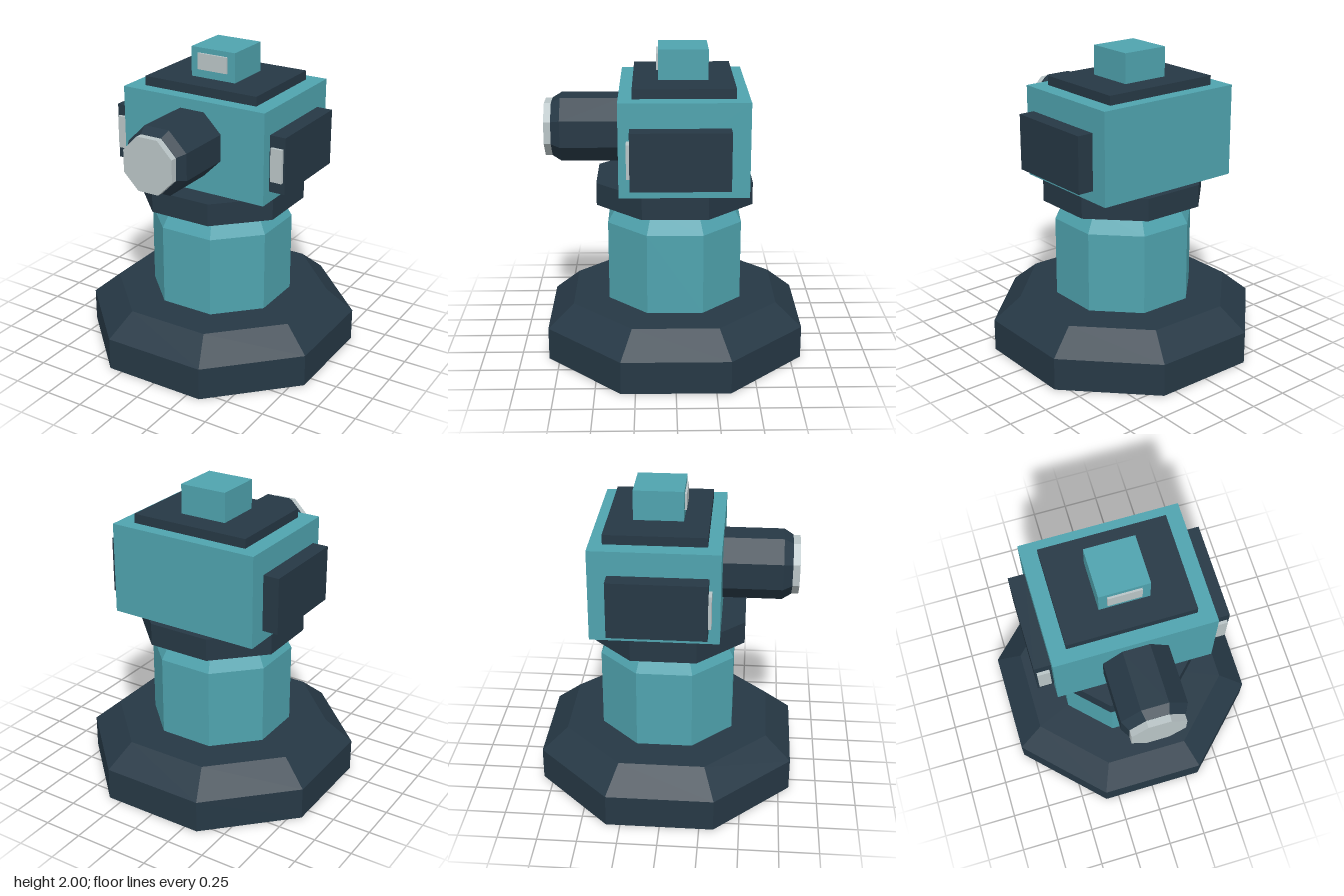
import * as THREE from 'three';

const mat = (name, color) => {
  const m = new THREE.MeshStandardMaterial({ color, flatShading: true });
  m.name = name;
  return m;
};

export function createModel() {
  const root = new THREE.Group();
  root.name = 'sentryTurret';
  const teal = mat('teal', 0x4fa3ae);
  const navy = mat('darkNavy', 0x263845);
  const pale = mat('paleGrey', 0xb9c4c6);

  const add = (name, geometry, material) => {
    const mesh = new THREE.Mesh(geometry, material);
    mesh.name = name;
    root.add(mesh);
    return mesh;
  };

  // Closed octagonal solid from [half width across flats, height] rings, bottom to top
  const octagon = (name, rings, material) => {
    const k = 1 / Math.cos(Math.PI / 8);
    const pts = rings.map(([r, y]) => new THREE.Vector2(r * k, y));
    pts.unshift(new THREE.Vector2(0, rings[0][1]));
    pts.push(new THREE.Vector2(0, rings[rings.length - 1][1]));
    return add(name, new THREE.LatheGeometry(pts, 8, Math.PI / 8), material);
  };

  // Box given by its extents on each axis
  const box = (name, [x0, x1], [y0, y1], [z0, z1], material) => {
    const g = new THREE.BoxGeometry(x1 - x0, y1 - y0, z1 - z0);
    g.translate((x0 + x1) / 2, (y0 + y1) / 2, (z0 + z1) / 2);
    return add(name, g, material);
  };

  // Pedestal
  octagon('base', [[0.82, 0], [0.82, 0.213], [0.655, 0.36]], navy);
  octagon('column', [[0.427, 0.36], [0.427, 0.885], [0.357, 1.015]], teal);
  octagon('collar', [[0.495, 1.015], [0.495, 1.16]], navy);

  // Head and roof
  box('head', [-0.505, 0.505], [1.16, 1.75], [-0.453, 0.345], teal);
  box('roofPlate', [-0.4, 0.4], [1.75, 1.81], [-0.37, 0.26], navy);
  box('sensorBlock', [-0.157, 0.157], [1.81, 2], [-0.21, 0.102], teal);
  box('sensorWindow', [-0.105, 0.105], [1.863, 1.967], [0.102, 0.115], pale);

  // Forward barrel and its lens
  const barrel = octagon('barrel', [[0.205, 0.34], [0.205, 0.718], [0.172, 0.776]], navy);
  const lens = octagon('barrelLens', [[0.17, 0.776], [0.17, 0.82]], pale);
  for (const part of [barrel, lens]) {
    part.rotation.x = Math.PI / 2;
    part.position.y = 1.477;
  }

  // Side pods with front lamps
  for (const [side, s] of [['left', 1], ['right', -1]]) {
    const span = (a, b) => (s > 0 ? [a, b] : [-b, -a]);
    box(side + 'Pod', span(0.505, 0.61), [1.233, 1.595], [-0.335, 0.275], navy);
    box(side + 'PodLamp', span(0.52, 0.598), [1.307, 1.522], [0.275, 0.295], pale);
  }

  return root;
}
